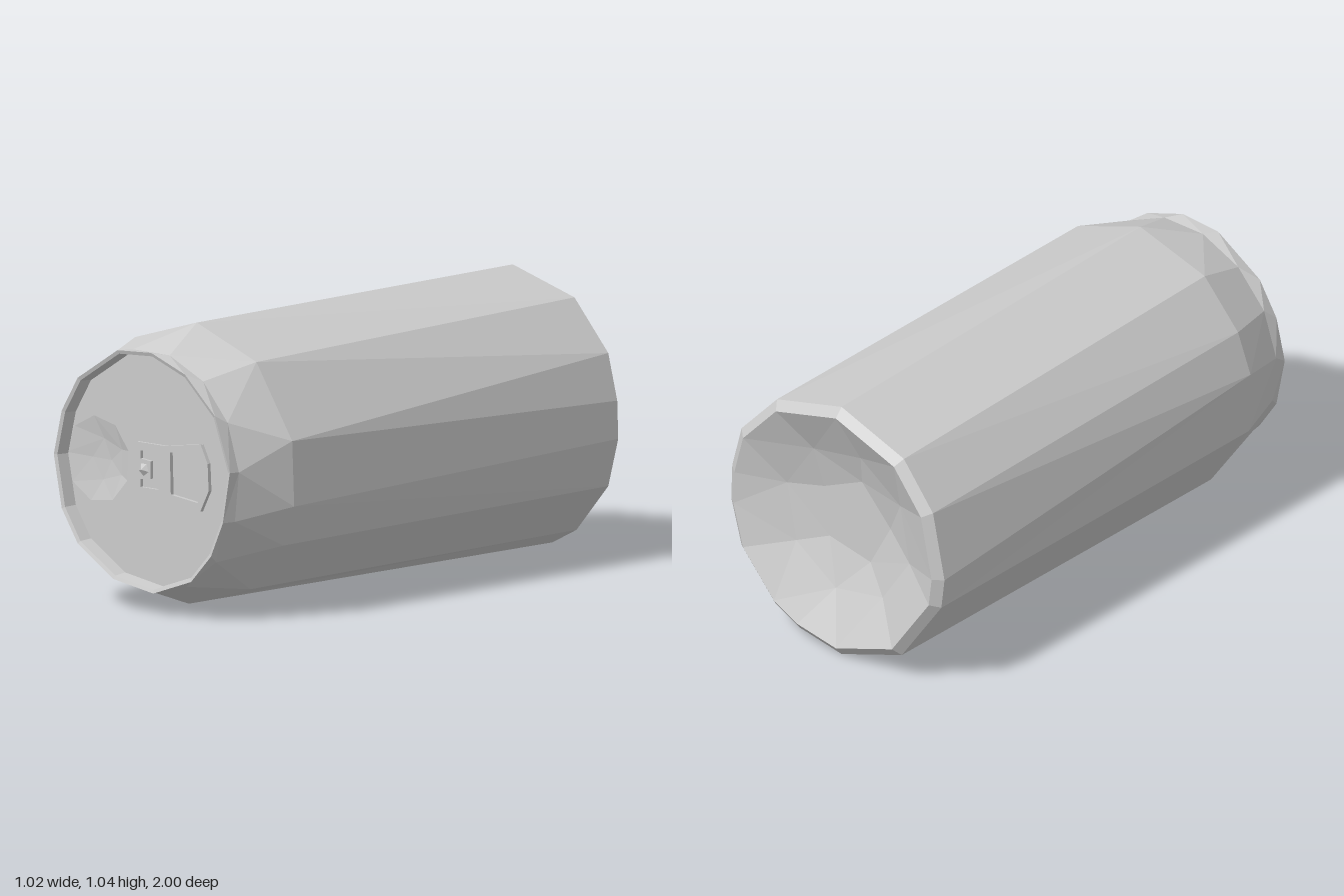
import * as THREE from 'three';

const CY = 0.52; // height of the can's axis

// A ring is a list of [x, y] points placed at depth z, sorted counterclockwise
function ring(points, z) {
  const cx = points.reduce((s, p) => s + p[0], 0) / points.length;
  const cy = points.reduce((s, p) => s + p[1], 0) / points.length;
  return points
    .map(([x, y]) => ({ p: [x, y, z], a: Math.atan2(y - cy, x - cx) }))
    .sort((m, n) => m.a - n.a);
}

function circle(n, r, z, turn = 0, cx = 0, cy = CY) {
  const pts = [];
  for (let i = 0; i < n; i++) {
    const a = turn + (i / n) * Math.PI * 2;
    pts.push([cx + Math.cos(a) * r, cy + Math.sin(a) * r]);
  }
  return ring(pts, z);
}

// Zip two rings of any point counts together by angle
function bridge(A, B, out) {
  const at = (R, i) => R[i % R.length].p;
  const angle = (R, i) => R[i % R.length].a + Math.floor(i / R.length) * Math.PI * 2;
  const stepsA = A.length > 1 ? A.length : 0;
  const stepsB = B.length > 1 ? B.length : 0;
  let i = 0, j = 0;
  while (i < stepsA || j < stepsB) {
    if (j >= stepsB || (i < stepsA && angle(A, i + 1) <= angle(B, j + 1))) {
      out.push(...at(A, i), ...at(A, i + 1), ...at(B, j));
      i++;
    } else {
      out.push(...at(A, i), ...at(B, j + 1), ...at(B, j));
      j++;
    }
  }
}

function createModel() {
  const group = new THREE.Group();
  const mat = new THREE.MeshStandardMaterial({
    color: 0xcccccc, flatShading: true, side: THREE.DoubleSide,
  });

  const add = (name, geometry) => {
    const mesh = new THREE.Mesh(geometry, mat);
    mesh.name = name;
    group.add(mesh);
    return mesh;
  };

  const loft = (name, rings) => {
    const out = [];
    for (let i = 0; i + 1 < rings.length; i++) bridge(rings[i], rings[i + 1], out);
    const g = new THREE.BufferGeometry();
    g.setAttribute('position', new THREE.Float32BufferAttribute(out, 3));
    g.computeVertexNormals();
    return add(name, g);
  };

  // Uneven outlines of the body at its back and front ends
  const backOutline = [
    [-0.02, 1.04], [0.29, 0.955], [0.46, 0.77], [0.505, 0.6], [0.51, 0.46], [0.46, 0.28],
    [0.3, 0.1], [0.18, 0.04], [-0.02, 0.005], [-0.31, 0.11], [-0.5, 0.38], [-0.515, 0.5],
    [-0.46, 0.76], [-0.32, 0.935],
  ];
  const shoulderOutline = [
    [0.02, 1.04], [0.32, 0.93], [0.5, 0.66], [0.51, 0.42], [0.455, 0.27], [0.29, 0.09],
    [-0.02, 0], [-0.32, 0.11], [-0.5, 0.38], [-0.51, 0.62], [-0.45, 0.775], [-0.29, 0.95],
  ];
  const rimOutline = [
    [-0.12, 0.955], [0.05, 0.965], [0.22, 0.905], [0.37, 0.77], [0.445, 0.57], [0.41, 0.38],
    [0.35, 0.25], [0.25, 0.145], [0.06, 0.08], [-0.14, 0.11], [-0.32, 0.22], [-0.4, 0.34],
    [-0.44, 0.535], [-0.4, 0.7], [-0.32, 0.83],
  ];
  const scaled = (pts, s) => pts.map(([x, y]) => [x * s, CY + (y - CY) * s]);

  const backEdge = ring(backOutline, -0.97);
  const backRim = ring(scaled(backOutline, 0.93), -1);
  const shoulder = ring(shoulderOutline, 0.73);
  const rim = ring(rimOutline, 1);
  const lidEdge = ring(scaled(rimOutline, 0.955), 0.945);

  // Domed hollow in the base
  loft('base', [
    circle(5, 0.17, -0.87, 0.5),
    circle(8, 0.3, -0.91, 0.2),
    backRim,
  ]);
  loft('baseCentre', [circle(1, 0, -0.87), circle(5, 0.17, -0.87, 0.5)]);

  // Body, tapered neck and rolled rim
  loft('body', [backRim, backEdge, shoulder]);
  loft('neck', [shoulder, circle(15, 0.445, 0.95, 0.1), rim]);
  loft('rim', [rim, ring(scaled(rimOutline, 0.97), 0.995), lidEdge]);

  // Lid with the shallow dent of the drinking opening
  loft('lid', [
    lidEdge,
    circle(9, 0.16, 0.945, 0.3, -0.27, 0.53),
    circle(5, 0.08, 0.93, 0.6, -0.23, 0.53),
    circle(1, 0, 0.925, 0, -0.22, 0.53),
  ]);

  // Pull tab: slotted plate and open finger ring
  const plate = (name, outline, hole, z, depth) => {
    const toV = (pts) => pts.map(([x, y]) => new THREE.Vector2(x, y));
    const shape = new THREE.Shape(toV(outline));
    shape.holes.push(new THREE.Path(toV(hole)));
    const g = new THREE.ExtrudeGeometry(shape, { depth, bevelEnabled: false });
    g.translate(0, 0, z);
    return add(name, g);
  };
  plate('tabPlate',
    [[-0.065, 0.62], [0.07, 0.62], [0.09, 0.415], [-0.065, 0.43], [-0.095, 0.48]],
    [[-0.045, 0.59], [0.045, 0.59], [0.045, 0.455], [-0.045, 0.455], [-0.045, 0.485],
      [0.005, 0.49], [0.005, 0.555], [-0.045, 0.56]],
    0.94, 0.016);
  plate('tabRing',
    [[0.07, 0.62], [0.26, 0.647], [0.295, 0.58], [0.3, 0.48], [0.258, 0.4], [0.09, 0.415]],
    [[0.105, 0.6], [0.245, 0.613], [0.275, 0.56], [0.245, 0.43], [0.11, 0.445]],
    0.94, 0.02);

  // Rivet holding the tab
  const rivet = add('rivet', new THREE.ConeGeometry(0.026, 0.015, 5));
  rivet.rotation.x = Math.PI / 2;
  rivet.position.set(-0.03, 0.522, 0.963);

  return group;
}

export { createModel };
